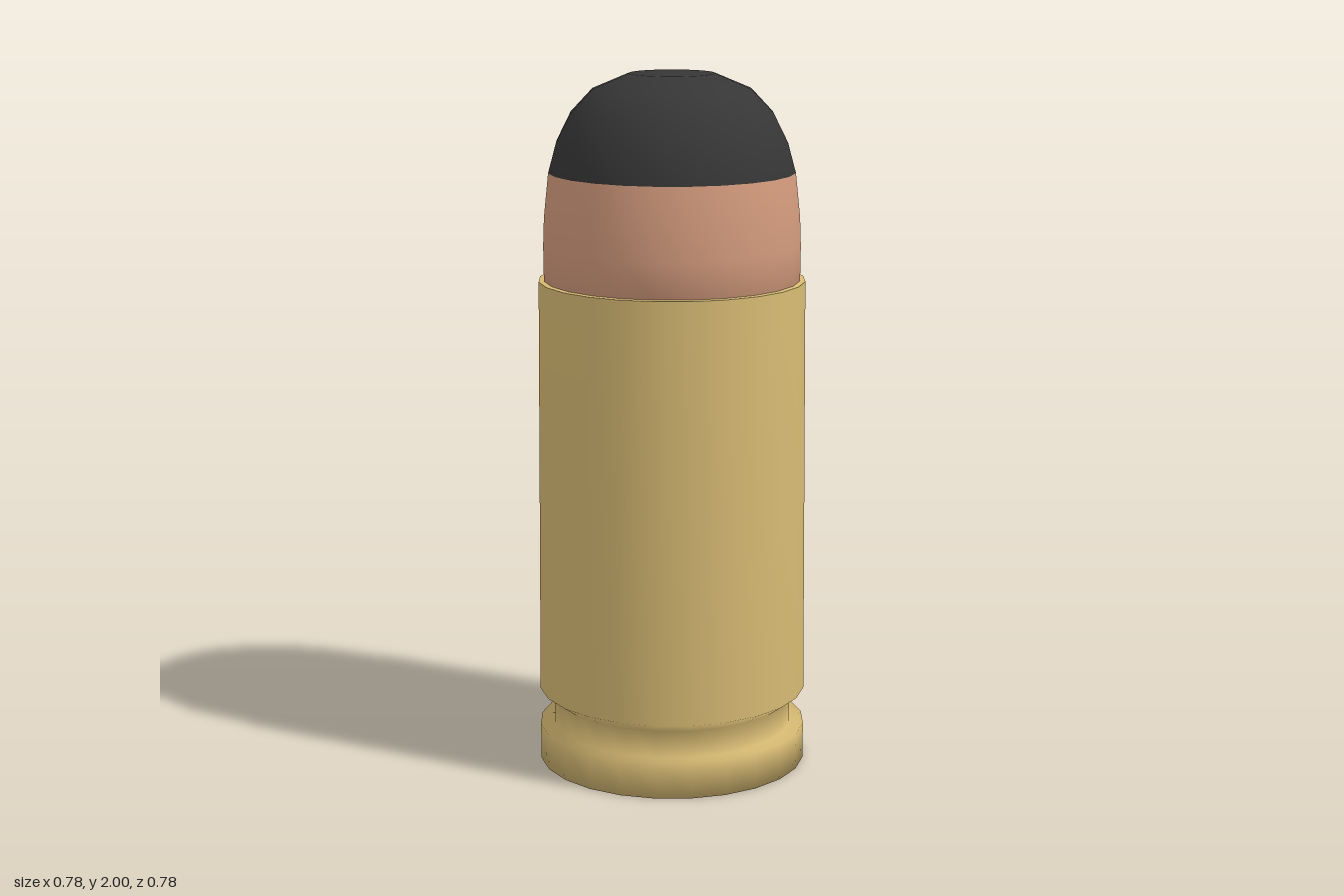
import * as THREE from 'three';

const SIDES = 24;

const material = (name, color) => {
  const m = new THREE.MeshStandardMaterial({ color });
  m.name = name;
  return m;
};

const toPoints = (profile) => profile.map(([r, y]) => new THREE.Vector2(r, y));

// Turn a profile, keeping only the bands between points first and last,
// so that parts sharing one profile keep continuous smooth normals.
function turned(name, mat, profile, first = 0, last = profile.length - 1) {
  const geometry = new THREE.LatheGeometry(toPoints(profile), SIDES);
  const bands = profile.length - 1;
  const index = Array.from(geometry.index.array).filter((_, i) => {
    const band = Math.floor(i / 6) % bands;
    return band >= first && band < last;
  });
  geometry.setIndex(index);
  const mesh = new THREE.Mesh(geometry, mat);
  mesh.name = name;
  return mesh;
}

export function createModel() {
  const brass = material('brass', 0xd8bb74);
  const copper = material('copper', 0xd29a7c);
  const black = material('black', 0x363636);

  const model = new THREE.Group();
  model.name = 'cartridge';

  // Case: base, rim, extractor groove, chamfer and slightly tapered wall
  const caseProfile = [
    [0, 0], [0.388, 0], [0.388, 0.105], [0.346, 0.106],
    [0.346, 0.185], [0.388, 0.215], [0.38, 1.418],
  ];
  model.add(turned('case', brass, caseProfile));

  // Mouth of the case, a flat ring with a sharp outer edge
  model.add(turned('caseMouth', brass, [[0.38, 1.418], [0.355, 1.42]]));

  // Bullet: copper jacket below, dark rounded tip above
  const bulletProfile = [
    [0.33, 1.40], [0.365, 1.42], [0.366, 1.52], [0.363, 1.6], [0.35, 1.725],
    [0.327, 1.81], [0.287, 1.89], [0.225, 1.956], [0.121, 2], [0, 2],
  ];
  model.add(turned('jacket', copper, bulletProfile, 0, 4));
  model.add(turned('tip', black, bulletProfile, 4));

  return model;
}
